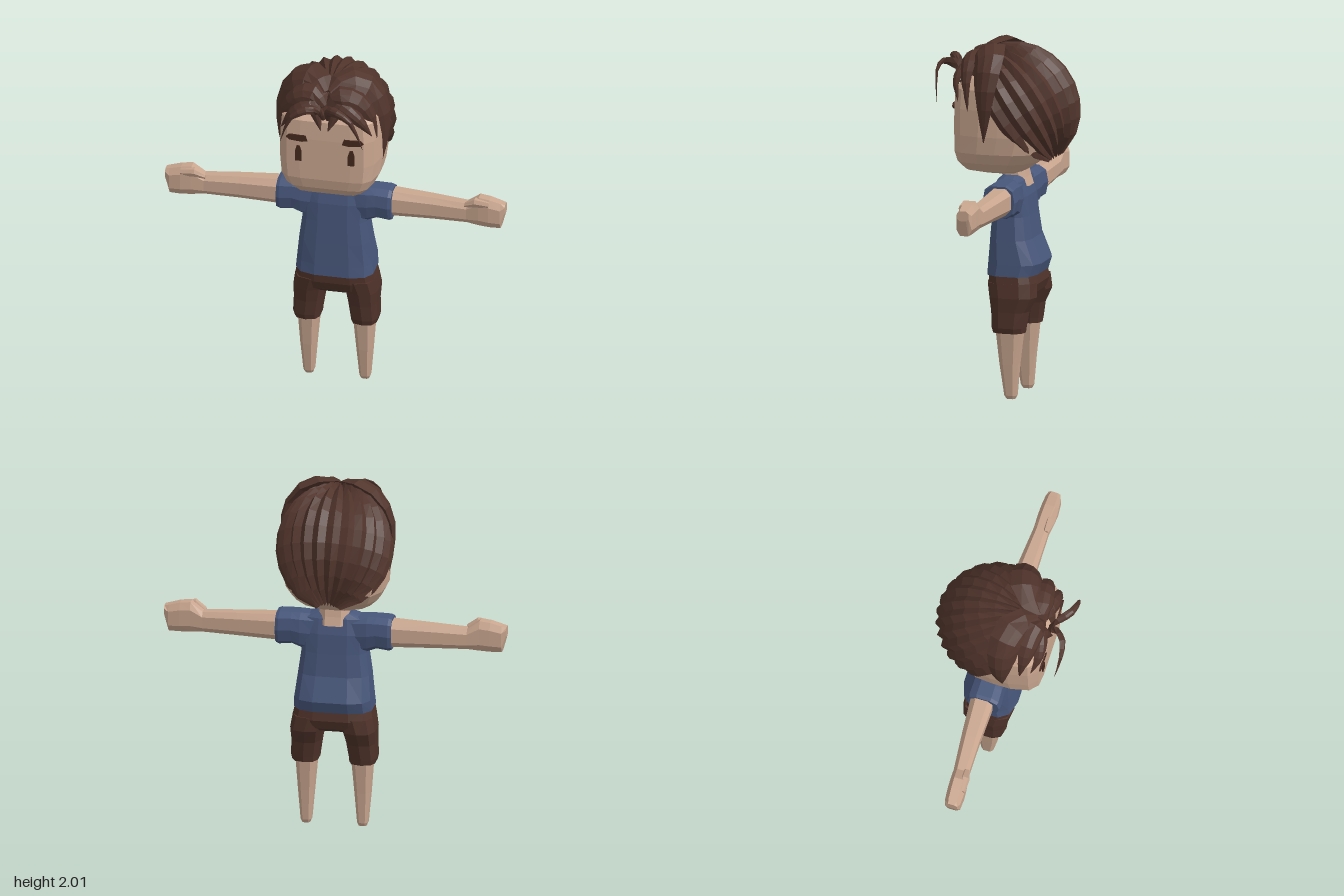
import * as THREE from 'three';

const material = (name, color) => {
  const m = new THREE.MeshStandardMaterial({ color });
  m.name = name;
  return m;
};

// Faceted solid through rings of equal point count, capped at both ends.
function loft(rings) {
  const n = rings[0].length, tris = [];
  const centre = r => r.reduce((a, p) => a.add(p), new THREE.Vector3()).divideScalar(n);
  const first = rings[0], last = rings[rings.length - 1];
  const c0 = centre(first), c1 = centre(last);
  for (let j = 0; j < n; j++) {
    const k = (j + 1) % n;
    tris.push([c0, first[k], first[j]], [c1, last[j], last[k]]);
    for (let i = 0; i < rings.length - 1; i++) {
      const a = rings[i], b = rings[i + 1];
      tris.push([a[j], a[k], b[k]], [a[j], b[k], b[j]]);
    }
  }
  // Turn the faces outward whichever way the rings run.
  let volume = 0;
  for (const [a, b, c] of tris) {
    volume += a.clone().sub(c0).dot(b.clone().sub(c0).cross(c.clone().sub(c0)));
  }
  const pts = tris.flatMap(([a, b, c]) => (volume < 0 ? [a, c, b] : [a, b, c]));
  const g = new THREE.BufferGeometry().setFromPoints(pts);
  g.computeVertexNormals();
  return g;
}

// Rounded-square outline of n points in a unit box.
function oval(n, e = 0.7) {
  const f = v => Math.sign(v) * Math.abs(v) ** e;
  return Array.from({ length: n }, (_, i) => {
    const a = ((i + 0.5) / n) * Math.PI * 2;
    return [f(Math.cos(a)), f(Math.sin(a))];
  });
}

// Level ring: height, centre x, half width, front z, back z.
const levelRing = (outline, y, cx, hx, zf, zb) =>
  outline.map(([u, v]) => new THREE.Vector3(cx + u * hx, y, (zf + zb) / 2 + v * (zf - zb) / 2));
// Upright ring across an arm: x, centre y, half height, centre z, half depth.
const armRing = (outline, side, x, cy, hy, cz, hz) =>
  outline.map(([u, v]) => new THREE.Vector3(side * x, cy + u * hy, cz + v * hz));

const headCentre = new THREE.Vector3(0, 1.62, -0.05);

// Pointed lock of hair lying on the head along a path.
function lock(path, side, width, thick) {
  const curve = new THREE.CatmullRomCurve3(path.map(([x, y, z]) => new THREE.Vector3(side * x, y, z)));
  const section = [[-1, -0.3], [-0.5, 0.7], [0, 1], [0.5, 0.7], [1, -0.3], [0, -1]];
  const rings = [];
  for (let i = 0; i <= 8; i++) {
    const s = i / 8, p = curve.getPoint(s), t = curve.getTangent(s);
    const across = t.clone().cross(p.clone().sub(headCentre)).normalize();
    const out = across.clone().cross(t).normalize();
    const k = Math.min(1, 0.4 + s * 2.5) * Math.max(0.03, 1 - s ** 2.2);
    rings.push(section.map(([u, v]) => p.clone()
      .addScaledVector(across, u * width * k).addScaledVector(out, v * thick * k)));
  }
  return loft(rings);
}

// Ridged hair shell running from the crown to the nape.
function backHair() {
  const up = new THREE.Vector3(0, 0.83, 0.56), back = new THREE.Vector3(0, 0.56, -0.83);
  const centre = new THREE.Vector3(0, 1.635, -0.055);
  const strips = 14, half = strips, P = 1.78, rings = [];
  for (let i = 0; i <= 10; i++) {
    const s = 0.03 + 0.87 * (i / 10), ring = [];
    const add = (j, inner) => {
      const ridge = Math.abs(j % 2), p = (j / half) * P;
      const t = Math.PI * (s + (i === 10 && ridge ? 0.035 : 0));
      const k = inner ? 0.82 : ridge ? 1.03 : 0.96;
      const v = centre.clone().addScaledVector(up, 0.355 * k * Math.cos(t))
        .addScaledVector(back, 0.33 * k * Math.sin(t) * Math.cos(p));
      v.x = 0.32 * k * Math.sin(t) * Math.sin(p);
      ring.push(v);
    };
    for (let j = -half; j <= half; j++) add(j, false);
    for (let j = half; j >= -half; j--) add(j, true);
    rings.push(ring);
  }
  return loft(rings);
}

// Thin plate cut from a polygon, facing forward.
function plate(points, side) {
  const shape = new THREE.Shape(points.map(([x, y]) => new THREE.Vector2(side * x, y)));
  return new THREE.ExtrudeGeometry(shape, { depth: 0.009, bevelEnabled: false }).translate(0, 0, 0.257);
}

export function createModel() {
  const skin = material('skin', 0xc9a68f);
  const hair = material('hair brown', 0x50342b);
  const cloth = material('shirt blue', 0x47567a);
  const shorts = material('shorts brown', 0x4e3229);
  const dark = material('eye brown', 0x46291f);

  const model = new THREE.Group();
  model.name = 'figure';
  const add = (name, geometry, mat) => {
    const mesh = new THREE.Mesh(geometry, mat);
    mesh.name = name;
    model.add(mesh);
    return mesh;
  };

  // Head with a flat face
  const halfHead = [[0.5, 1], [0.76, 0.97], [0.92, 0.8], [1, 0.4], [1, 0], [0.97, -0.4], [0.8, -0.75], [0.45, -0.95]];
  const headOutline = [[0, 1], ...halfHead, [0, -1], ...halfHead.map(([x, z]) => [-x, z]).reverse()];
  add('head', loft([
    [1.265, 0, 0.11, 0.13, -0.08], [1.29, 0, 0.2, 0.21, -0.13], [1.34, 0, 0.25, 0.25, -0.2],
    [1.4, 0, 0.28, 0.262, -0.25], [1.5, 0, 0.29, 0.262, -0.29], [1.65, 0, 0.29, 0.262, -0.3],
    [1.76, 0, 0.28, 0.255, -0.29], [1.82, 0, 0.25, 0.2, -0.26], [1.88, 0, 0.17, 0.1, -0.2],
  ].map(r => levelRing(headOutline, ...r))), skin);

  // Neck, showing above the shirt at the back
  add('neck', loft([[1.19, 0, 0.085, 0.02, -0.135], [1.24, 0, 0.09, 0.03, -0.118], [1.32, 0, 0.085, 0.04, -0.1]]
    .map(r => levelRing(oval(8), ...r))), skin);

  // Shirt
  const body = oval(12, 0.6);
  add('shirt', loft([
    [0.7, 0, 0.225, 0.1, -0.2], [0.765, 0, 0.22, 0.095, -0.222], [0.9, 0, 0.205, 0.085, -0.165],
    [1.03, 0, 0.187, 0.075, -0.147], [1.14, 0, 0.19, 0.066, -0.135], [1.225, 0, 0.18, 0.045, -0.11],
    [1.255, 0, 0.1, 0.015, -0.09],
  ].map(r => levelRing(body, ...r))), cloth);

  // Seat of the shorts
  add('shortsSeat', loft([
    [0.71, 0, 0.22, 0.09, -0.19], [0.65, 0, 0.232, 0.088, -0.205], [0.6, 0, 0.23, 0.07, -0.19],
    [0.575, 0, 0.17, 0.04, -0.15],
  ].map(r => levelRing(body, ...r))), shorts);

  for (const side of [1, -1]) {
    const name = part => (side > 0 ? 'left' : 'right') + part;
    const leg = (rows, n) => loft(rows.map(([y, cx, ...r]) => levelRing(oval(n), y, side * cx, ...r)));
    const arm = (rows, n) => loft(rows.map(r => armRing(oval(n), side, ...r)));

    // Legs
    add(name('ShortsLeg'), leg([
      [0.66, 0.125, 0.105, 0.085, -0.2], [0.58, 0.148, 0.095, 0.07, -0.205], [0.5, 0.155, 0.085, 0.056, -0.165],
      [0.41, 0.164, 0.08, 0.05, -0.15], [0.38, 0.162, 0.075, 0.042, -0.145],
    ], 10), shorts);
    add(name('Leg'), leg([
      [0.42, 0.158, 0.064, 0.03, -0.135], [0.2, 0.16, 0.047, 0.005, -0.11],
      [0.02, 0.16, 0.032, -0.022, -0.095], [0, 0.16, 0.024, -0.035, -0.085],
    ], 8), skin);

    // Sleeve, arm and fist
    add(name('Sleeve'), arm([
      [0.1, 1.13, 0.11, -0.035, 0.085], [0.19, 1.14, 0.105, -0.036, 0.095], [0.24, 1.15, 0.095, -0.036, 0.095],
      [0.31, 1.145, 0.098, -0.036, 0.098], [0.328, 1.145, 0.092, -0.036, 0.092],
    ], 10), cloth);
    add(name('Arm'), arm([
      [0.3, 1.148, 0.08, -0.045, 0.07], [0.55, 1.145, 0.07, -0.04, 0.056], [0.75, 1.14, 0.062, -0.032, 0.046],
      [0.82, 1.162, 0.092, -0.025, 0.05], [0.88, 1.157, 0.09, -0.022, 0.052],
      [0.945, 1.148, 0.08, -0.022, 0.047], [0.97, 1.19, 0.03, -0.022, 0.035],
    ], 8), skin);
    add(name('Thumb'), arm([
      [0.74, 1.195, 0.012, 0, 0.015], [0.8, 1.222, 0.026, 0.008, 0.025], [0.88, 1.215, 0.02, 0.01, 0.02],
    ], 6), skin);

    // Eye and eyebrow
    add(name('Eye'), plate([[0.132, 1.51], [0.168, 1.51], [0.17, 1.57], [0.16, 1.605], [0.143, 1.605], [0.132, 1.57]], side), dark);
    add(name('Eyebrow'), plate([[0.098, 1.638], [0.13, 1.632], [0.2, 1.638], [0.222, 1.655], [0.205, 1.672], [0.11, 1.672]], side), dark);

    // Parted fringe: crown lock to the sideburn, fringe locks and a lifted curl
    [
      [[[0.015, 1.91, 0.18], [0.1, 1.962, 0.1], [0.22, 1.92, 0.06], [0.292, 1.78, 0.06], [0.303, 1.62, 0.06], [0.287, 1.47, 0.065]], 0.11, 0.038],
      [[[0.01, 1.85, 0.22], [0.08, 1.91, 0.2], [0.18, 1.885, 0.19], [0.25, 1.79, 0.18], [0.275, 1.63, 0.16]], 0.08, 0.035],
      [[[0.17, 1.9, 0.15], [0.08, 1.86, 0.23], [0.02, 1.72, 0.275]], 0.06, 0.03],
      [[[0.02, 1.88, 0.19], [0.12, 1.85, 0.24], [0.2, 1.79, 0.25], [0.26, 1.69, 0.22]], 0.055, 0.028],
      [[[0.01, 1.78, 0.25], [0.03, 1.86, 0.3], [0.09, 1.885, 0.355], [0.17, 1.84, 0.37], [0.235, 1.67, 0.35]], 0.032, 0.018],
    ].forEach(([path, w, t], i) => add(name('FringeLock' + (i + 1)), lock(path, side, w, t), hair));
  }

  // Hair over the back of the head, and under the fringe
  add('backHair', backHair(), hair);
  const underHair = new THREE.IcosahedronGeometry(1, 2);
  underHair.scale(0.27, 0.17, 0.18).translate(0, 1.785, 0.05);
  underHair.computeVertexNormals();
  add('underHair', underHair, hair);

  return model;
}
